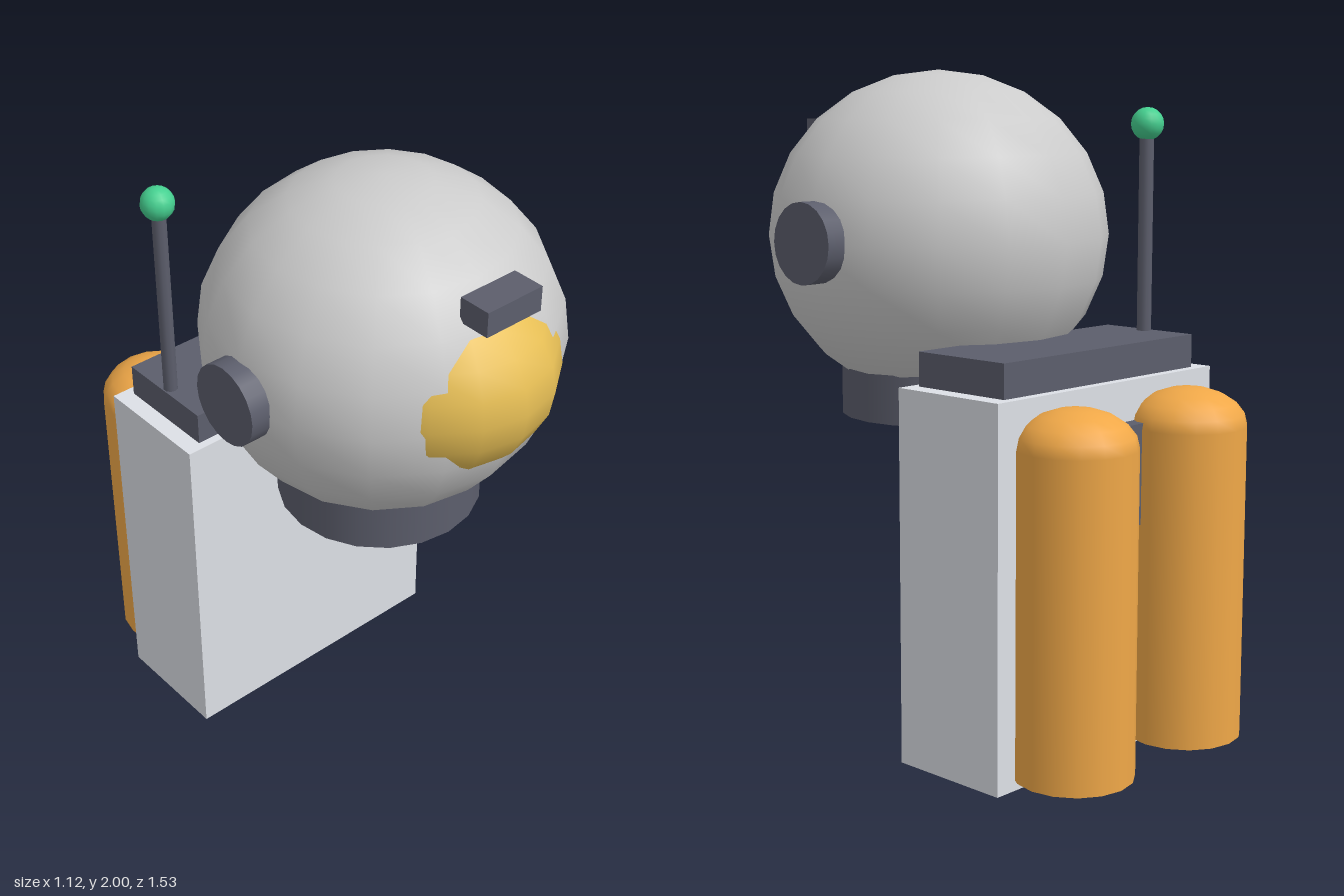
import * as THREE from 'three';

const mat = (color) => new THREE.MeshStandardMaterial({ color });

export function createModel() {
  const model = new THREE.Group();
  const shell = mat(0xcccccc), pack = mat(0xdde0e6), dark = mat(0x5c5e6c);
  const gold = mat(0xe6be55), orange = mat(0xf0a848), green = mat(0x45d090);

  const add = (name, geometry, material, x, y, z) => {
    const mesh = new THREE.Mesh(geometry, material);
    mesh.name = name;
    mesh.position.set(x, y, z);
    model.add(mesh);
    return mesh;
  };
  const box = (w, h, d) => new THREE.BoxGeometry(w, h, d);
  const cyl = (r, h, n = 16) => new THREE.CylinderGeometry(r, r, h, n);
  const ellipsoid = (a, b, c, n = 16, m = 12) => new THREE.SphereGeometry(1, n, m).scale(a, b, c);

  // Helmet: slightly squashed globe, bulging visor, neck ring and lamp
  add('helmet', ellipsoid(0.525, 0.5, 0.525), shell, 0, 1.5, 0.19);
  add('visor', ellipsoid(0.35, 0.305, 0.38), gold, 0, 1.52, 0.385);
  add('neckRing', cyl(0.305, 0.16, 20), dark, 0, 1.03, 0.19);
  add('helmetLamp', box(0.195, 0.075, 0.1), dark, 0, 1.812, 0.642);

  // Backpack with top cap and rear control panel
  add('backpack', box(0.94, 1.11, 0.385), pack, 0, 0.555, -0.312);
  add('backpackCap', box(0.83, 0.1, 0.33), dark, 0, 1.16, -0.31);
  add('controlPanel', box(0.42, 0.3, 0.07), dark, 0, 0.84, -0.52);
  add('panelLight', new THREE.SphereGeometry(0.03, 12, 8), green, 0.09, 0.83, -0.557);

  // Mirrored pairs: ear caps and air tanks with flattened domes
  for (const [side, s] of [['left', 1], ['right', -1]]) {
    add(side + 'EarCap', cyl(0.12, 0.1, 20).rotateZ(Math.PI / 2), dark, s * 0.51, 1.503, 0.187);
    add(side + 'Tank', cyl(0.175, 0.94), orange, s * 0.25, 0.5, -0.592);
    add(side + 'TankDome', ellipsoid(0.175, 0.113, 0.175, 16, 10), orange, s * 0.25, 0.97, -0.592);
  }

  // Antenna on the right of the cap
  add('antennaRod', cyl(0.022, 0.64, 10), dark, -0.39, 1.51, -0.31);
  add('antennaTip', new THREE.SphereGeometry(0.05, 14, 10), green, -0.39, 1.838, -0.312);

  return model;
}
